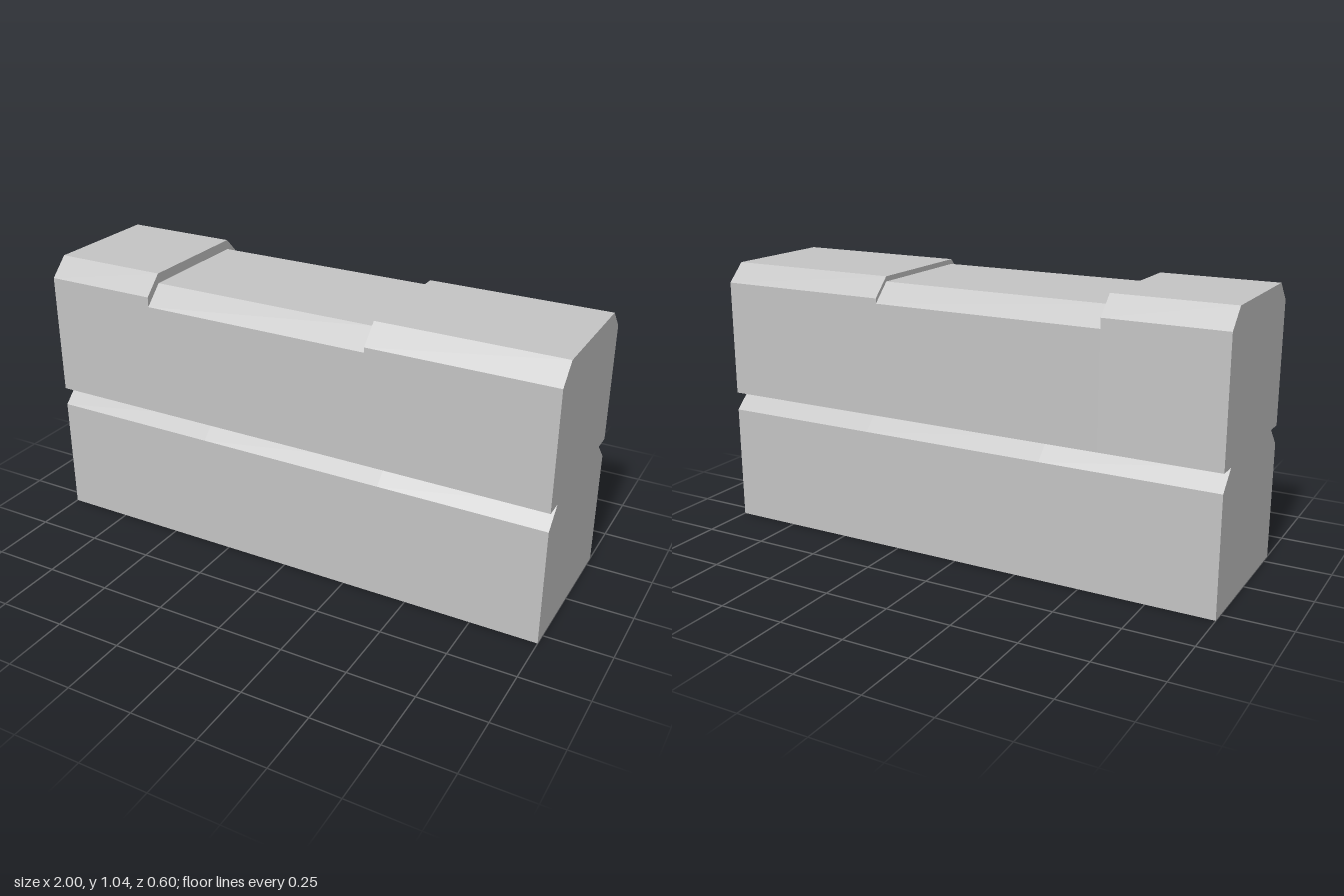
import * as THREE from 'three';

const HALF_DEPTH = 0.3;
const BEVEL = 0.07;

// Block spanning x0..x1 with a bevelled-top cross-section; the underside is optional.
function blockGeometry(x0, x1, bottom, top, closedBottom) {
  const inner = HALF_DEPTH - BEVEL;
  const profile = [ // [z, y], front foot over the top to the back foot
    [HALF_DEPTH, bottom], [HALF_DEPTH, top - BEVEL], [inner, top],
    [-inner, top], [-HALF_DEPTH, top - BEVEL], [-HALF_DEPTH, bottom],
  ];
  const n = profile.length;
  const positions = [];
  const add = (x, i) => positions.push(x, profile[i % n][1], profile[i % n][0]);

  // Long faces
  const sides = closedBottom ? n : n - 1;
  for (let i = 0; i < sides; i++) {
    add(x0, i); add(x1, i); add(x1, i + 1);
    add(x0, i); add(x1, i + 1); add(x0, i + 1);
  }
  // End faces
  for (let i = 1; i < n - 1; i++) {
    add(x1, 0); add(x1, i + 1); add(x1, i);
    add(x0, 0); add(x0, i); add(x0, i + 1);
  }

  const geometry = new THREE.BufferGeometry();
  geometry.setAttribute('position', new THREE.Float32BufferAttribute(positions, 3));
  geometry.computeVertexNormals();
  return geometry;
}

export function createModel() {
  const model = new THREE.Group();
  model.name = 'stoneWall';

  const stone = new THREE.MeshStandardMaterial({ color: 0xc4c4c4, side: THREE.DoubleSide });
  stone.name = 'grey stone';

  function addCourse(name, joints, bottom, tops, closedBottom) {
    const course = new THREE.Group();
    course.name = name;
    tops.forEach((top, i) => {
      const geometry = blockGeometry(joints[i], joints[i + 1], bottom, top, closedBottom);
      const block = new THREE.Mesh(geometry, stone);
      block.name = `${name}Block${i + 1}`;
      course.add(block);
    });
    model.add(course);
  }

  // Lower course: hollow blocks of one height, open underneath
  addCourse('lowerCourse', [-1, -0.34, 0.38, 1], 0, [0.513, 0.513, 0.513], false);
  // Upper course: blocks of uneven height with staggered joints
  addCourse('upperCourse', [-1, -0.56, 0.32, 1], 0.513, [1.043, 1.006, 1.025], true);

  return model;
}
